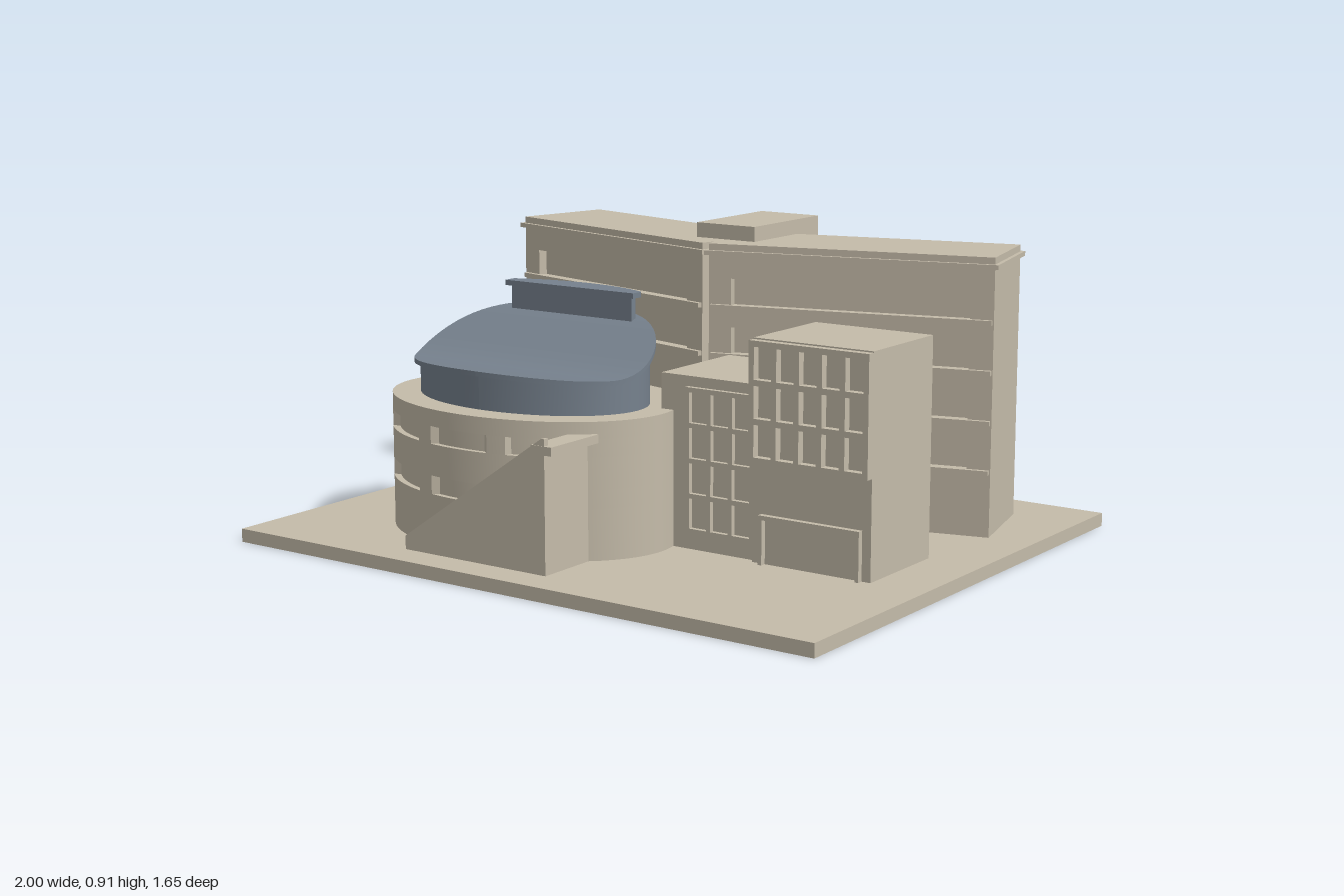
import * as THREE from 'three';
import { toCreasedNormals } from 'three/addons/utils/BufferGeometryUtils.js';

export function createModel() {
  const model = new THREE.Group();
  const stone = new THREE.MeshStandardMaterial({ color: 0xc4bba9 });
  stone.name = 'stone';
  const slate = new THREE.MeshStandardMaterial({ color: 0x76818d });
  slate.name = 'slate';
  const GROUND = 0.04;

  function add(name, geometry, material = stone, parent = model) {
    const mesh = new THREE.Mesh(geometry, material);
    mesh.name = name;
    parent.add(mesh);
    return mesh;
  }
  // box given by its limits
  function box(name, x0, x1, y0, y1, z0, z1, parent = model) {
    const g = new THREE.BoxGeometry(x1 - x0, y1 - y0, z1 - z0);
    g.translate((x0 + x1) / 2, (y0 + y1) / 2, (z0 + z1) / 2);
    return add(name, g, stone, parent);
  }
  const poly = (pts, Type = THREE.Shape) => new Type(pts.map(([x, y]) => new THREE.Vector2(x, y)));
  const rect = (x0, x1, y0, y1, Type) => poly([[x0, y0], [x1, y0], [x1, y1], [x0, y1]], Type);
  // upright plate with rectangular openings [x0, x1, y0, y1]
  function plate(name, outline, holes, z0, z1, parent = model) {
    const shape = Array.isArray(outline[0]) ? poly(outline) : rect(...outline);
    shape.holes = holes.map((h) => rect(...h, THREE.Path));
    const g = new THREE.ExtrudeGeometry(shape, { depth: z1 - z0, bevelEnabled: false });
    g.translate(0, 0, z0);
    return add(name, g, stone, parent);
  }
  // evenly divided window grid
  function grid(name, x0, x1, y0, y1, cols, rows, bar, z0, z1) {
    const holes = [];
    const w = (x1 - x0 - bar) / cols, h = (y1 - y0 - bar) / rows;
    for (let i = 0; i < cols; i++) {
      for (let j = 0; j < rows; j++) {
        const x = x0 + bar + i * w, y = y0 + bar + j * h;
        holes.push([x, x + w - bar, y, y + h - bar]);
      }
    }
    plate(name, [x0, x1, y0, y1], holes, z0, z1);
  }

  box('basePlate', -1, 1, 0, GROUND, -0.825, 0.825);

  // two angled office wings
  const TILT = THREE.MathUtils.degToRad(14), HALF = 0.437, TOP = 0.865;
  for (const side of [-1, 1]) {
    const wing = new THREE.Group();
    wing.name = side > 0 ? 'leftWing' : 'rightWing';
    wing.position.set(side * (0.012 + HALF * Math.cos(TILT)), 0, -0.145 - HALF * Math.sin(TILT));
    wing.rotation.y = side * TILT;
    model.add(wing);
    const floors = [0.235, 0.382, 0.53, 0.677];
    box('wingBody', -HALF, HALF, GROUND, TOP, -0.31, -0.03, wing);
    plate('wingFront', [-HALF, HALF, GROUND, TOP],
      floors.map((y) => [-0.366, 0.366, y + 0.004, y + 0.085]), -0.03, 0, wing);
    for (const y of floors) box('floorLedge', -HALF + 0.008, HALF - 0.004, y - 0.008, y + 0.006, -0.01, 0.014, wing);
    box('cornice', -HALF - 0.012, HALF + 0.012, 0.831, 0.845, -0.322, 0.012, wing);
  }
  box('stairCore', -0.105, 0.105, GROUND, 0.91, -0.61, -0.25);

  // oval hall: stacked oval layers, window bands set back
  const CX = -0.295, CZ = 0.315;
  const windows = [[-0.68, -0.475], [-0.41, -0.205], [-0.145, 0.06]];
  function hallLayer(y0, y1, hasWindows) {
    const pts = [];
    const N = 192;
    for (let i = 0; i < N; i++) {
      const a = (i / N) * Math.PI * 2;
      const x = CX + 0.465 * Math.cos(a);
      const inside = hasWindows && Math.sin(a) < 0 && windows.some(([l, r]) => x > l && x < r);
      const k = inside ? 0.95 : 1;
      pts.push([0.465 * k * Math.cos(a), 0.335 * k * Math.sin(a)]);
    }
    const g = new THREE.ExtrudeGeometry(poly(pts), { depth: y1 - y0, bevelEnabled: false });
    g.rotateX(-Math.PI / 2);
    g.translate(CX, y0, CZ);
    add(hasWindows ? 'hallWindowBand' : 'hallWall', toCreasedNormals(g, 0.4));
  }
  hallLayer(GROUND, 0.19, false);
  hallLayer(0.19, 0.245, true);
  hallLayer(0.245, 0.338, false);
  hallLayer(0.338, 0.39, true);
  hallLayer(0.39, 0.44, false);

  // oval slab whose top and bottom heights follow z
  function ovalSlab(name, rx, rz, bottom, top, zMax = CZ + rz, maxHalf = rx) {
    const g = new THREE.BoxGeometry(2, 2, 2, 1, 1, 40);
    const p = g.attributes.position;
    const a1 = Math.asin(Math.min(1, (zMax - CZ) / rz));
    for (let i = 0; i < p.count; i++) {
      const a = THREE.MathUtils.mapLinear(p.getZ(i), -1, 1, -Math.PI / 2, a1);
      const z = CZ + rz * Math.sin(a);
      const half = Math.min(maxHalf, rx * Math.cos(a));
      p.setXYZ(i, CX + p.getX(i) * half, p.getY(i) > 0 ? top(z) : bottom(z), z);
    }
    g.computeVertexNormals();
    add(name, g, slate);
  }
  // roof sweeps up towards the back and lifts slightly at the front
  const roofY = (z) => 0.54 + 0.14 * THREE.MathUtils.smoothstep(0.42 - z, 0, 0.38)
    + 0.5 * Math.max(0, z - 0.42) ** 2;
  ovalSlab('hallDrum', 0.38, 0.25, () => 0.43, (z) => roofY(z) - 0.006);
  ovalSlab('hallRoof', 0.4, 0.263, (z) => roofY(z) - 0.014, roofY);
  ovalSlab('roofLightBody', 0.39, 0.245, () => 0.62, () => 0.732, 0.135, 0.225);
  ovalSlab('roofLightCap', 0.4, 0.26, () => 0.728, () => 0.744, 0.147, 0.24);

  // outside stair against the hall
  const STEPS = 15;
  for (let i = 0; i < STEPS; i++) {
    const x = -0.43 + i * 0.03;
    box('stairStep', x, x + 0.03, GROUND, GROUND + ((i + 1) * 0.34) / STEPS, 0.5, 0.706);
  }
  plate('stairParapet', [[-0.445, GROUND], [0.065, GROUND], [0.065, 0.425], [0.055, 0.425], [-0.445, 0.08]],
    [], 0.705, 0.722);
  box('landingWall', 0.02, 0.065, GROUND, 0.385, 0.5, 0.71);
  box('landing', 0.02, 0.09, 0.38, 0.405, 0.51, 0.724);

  // low block with window grid
  box('lowBlock', 0.12, 0.54, GROUND, 0.545, -0.095, 0.25);
  grid('lowBlockGrid', 0.213, 0.446, 0.09, 0.515, 3, 4, 0.014, 0.25, 0.265);

  // tall block with window grid and entrance frame
  box('tallBlock', 0.445, 0.83, GROUND, 0.68, -0.055, 0.267);
  grid('tallBlockGrid', 0.445, 0.83, 0.33, 0.676, 5, 3, 0.017, 0.267, 0.291);
  plate('entranceFrame', [[0.475, GROUND], [0.487, GROUND], [0.487, 0.17], [0.79, 0.17], [0.79, GROUND],
    [0.802, GROUND], [0.802, 0.183], [0.475, 0.183]], [], 0.267, 0.285);

  return model;
}
